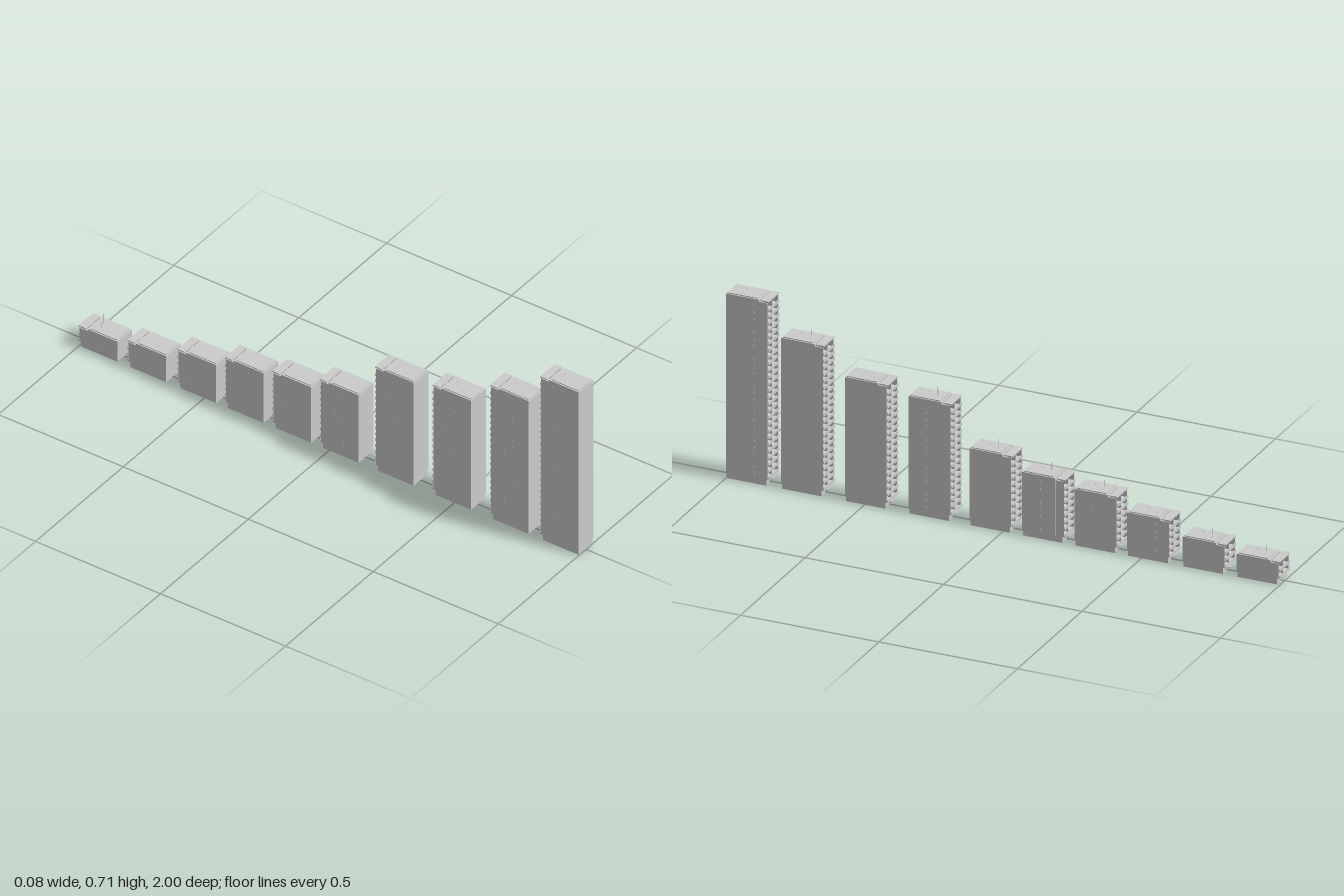
import * as THREE from 'three';

const STOREY = 0.0242, W = 0.083, D = 0.155, BASE = 0.023, CORE = 0.12;
const material = new THREE.MeshStandardMaterial({ color: 0xcccccc, side: THREE.DoubleSide });

function add(group, name, geometry, x, y, z) {
  const mesh = new THREE.Mesh(geometry, material);
  mesh.name = name;
  mesh.position.set(x, y, z);
  group.add(mesh);
  return mesh;
}

// Box given by its limits on each axis
function block(group, name, x0, x1, y0, y1, z0, z1) {
  return add(group, name, new THREE.BoxGeometry(x1 - x0, y1 - y0, z1 - z0),
    (x0 + x1) / 2, (y0 + y1) / 2, (z0 + z1) / 2);
}

// One tower: its front wall is at z = 0 and it runs back to z = -D
function createTower(storeys, index) {
  const tower = new THREE.Group();
  tower.name = `tower${storeys}Storeys`;
  const h = storeys * STOREY + 0.0115, hw = W / 2, bw = 0.0385, t = 0.002;

  // Hollow ground floor, open underneath and with a rear entrance
  block(tower, 'baseFront', -bw, bw, 0, BASE, -0.004, -0.002);
  for (const s of [-1, 1]) {
    const x = s * (bw - t / 2);
    block(tower, 'baseSide', x - t / 2, x + t / 2, 0, BASE, -0.143, -0.002);
    block(tower, 'baseBack', s > 0 ? 0.012 : -bw, s > 0 ? bw : -0.012, 0, BASE, -0.145, -0.143);
  }
  block(tower, 'entranceLintel', -0.012, 0.012, 0.018, BASE, -0.145, -0.143);
  block(tower, 'entranceCanopy', -0.018, 0.018, 0.017, 0.019, -D, -0.143);

  // Main block and roof
  block(tower, 'core', -hw, hw, BASE, h, -CORE, 0);
  block(tower, 'roofCap', -0.037, 0.037, h, h + 0.003, -0.112, -0.005);
  block(tower, 'rearRoof', -hw, hw, h - 0.004, h, -D, -0.126);
  block(tower, 'roofGutter', -hw, hw, h - 0.01, h - 0.007, -0.127, -CORE);

  // Balcony stack on the back, between two side walls
  for (const s of [-1, 1]) {
    const x = s * (hw - 0.0015);
    block(tower, 'balconySideWall', x - 0.0015, x + 0.0015, BASE, h - 0.007, -0.151, -CORE);
  }
  for (let i = 1; i < storeys; i++) {
    const y = BASE + (i - 1) * STOREY;
    block(tower, 'balconyFloor', -hw, hw, y, y + 0.003, -D, -CORE);
    block(tower, 'balconyParapet', -hw, hw, y, y + 0.011, -D, -0.153);
    block(tower, 'balconyDivider', -0.001, 0.001, y, y + STOREY, -0.148, -CORE);
    for (const x of [-0.021, 0.021])
      block(tower, 'balconyWindow', x - 0.011, x + 0.011, y + 0.008, y + 0.019, -CORE - 0.001, -CORE);
  }

  // Small windows and vents on both sides
  for (let i = 1; i < storeys; i++) {
    const y = BASE + (i - 0.5) * STOREY;
    for (const s of [-1, 1]) {
      [-0.063, -0.1].forEach((z, k) => {
        if ((i * 3 + index + k * 2 + s) % 4 === 0) return;
        block(tower, 'sideVent', s * hw - 0.0006, s * hw + 0.0006, y - 0.003, y + 0.003, z - 0.003, z + 0.003);
      });
    }
  }
  for (const s of [-1, 1])
    block(tower, 'sideJoint', s * hw - 0.0005, s * hw + 0.0005, BASE, h, -CORE, -CORE + 0.0015);

  // Roof aerials and vents
  const mast = (x, z, len) =>
    add(tower, 'aerial', new THREE.CylinderGeometry(0.0005, 0.0005, len, 6), x, h + len / 2, z);
  mast(0.012, -0.092, 0.041);
  mast(-0.01, -0.085, 0.026);
  add(tower, 'roofVent', new THREE.CylinderGeometry(0.0015, 0.0015, 0.004, 8), 0.012, h + 0.004, -0.092);
  add(tower, 'roofVent', new THREE.CylinderGeometry(0.002, 0.002, 0.003, 8), -0.015, h + 0.004, -0.05);
  return tower;
}

export function createModel() {
  const model = new THREE.Group();
  model.name = 'towerBlockRow';
  // Storey count and front position of each tower, tallest first
  const towers = [
    [27, 1], [22, 0.8], [18, 0.57], [17, 0.34], [11, 0.12],
    [9, -0.07], [8, -0.26], [6, -0.45], [4, -0.65], [3, -0.845],
  ];
  towers.forEach(([storeys, z], i) => {
    const tower = createTower(storeys, i);
    tower.position.z = z;
    model.add(tower);
  });
  return model;
}
